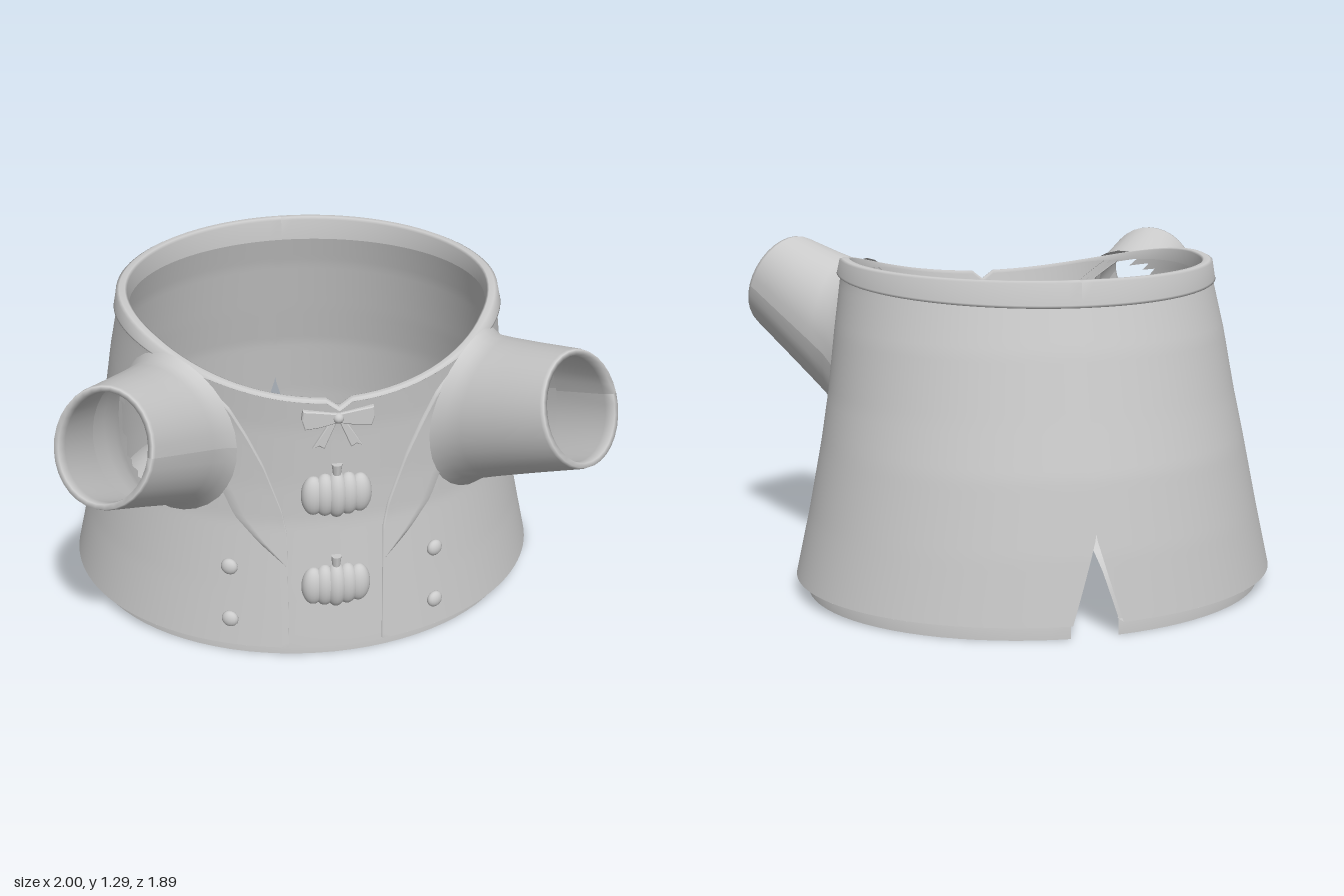
import * as THREE from 'three';

const mat = new THREE.MeshStandardMaterial({ color: 0xcccccc, side: THREE.DoubleSide });
const { lerp, clamp } = THREE.MathUtils;

// Piecewise interpolation through [position, value] pairs
function table(points, t) {
  if (t <= points[0][0]) return points[0][1];
  for (let i = 1; i < points.length; i++) {
    const [a, va] = points[i - 1], [b, vb] = points[i];
    if (t <= b) return lerp(va, vb, (t - a) / (b - a));
  }
  return points[points.length - 1][1];
}

// Body outline by height: half width, front and back
const HALF = [[0.06, 0.93], [0.3, 0.875], [0.57, 0.82], [0.76, 0.785], [1, 0.75], [1.2, 0.715]];
const FRONT = [[0.06, 0.68], [0.3, 0.665], [0.6, 0.645], [0.76, 0.65], [1, 0.665], [1.2, 0.69]];
const BACK = [[0.06, -0.93], [0.3, -0.905], [0.57, -0.865], [0.76, -0.82], [1, -0.765], [1.2, -0.705]];
// Jacket opening and lapel outer edge, as x by height
const OPEN = [[0.55, 0.18], [0.65, 0.197], [0.84, 0.26], [0.96, 0.315], [1.07, 0.375], [1.2, 0.51]];
const LAPEL = [[0.42, 0.183], [0.52, 0.28], [0.62, 0.36], [0.75, 0.41], [0.95, 0.42], [1.1, 0.45], [1.2, 0.55]];

function section(y) {
  const f = table(FRONT, y), b = table(BACK, y);
  return { rx: table(HALF, y), rz: (f - b) / 2, cz: (f + b) / 2 };
}
// Point on the body; angle 0 is the front centre, +x is positive
function surf(angle, y, off = 0) {
  const s = section(y);
  return new THREE.Vector3((s.rx + off) * Math.sin(angle), y, s.cz + (s.rz + off) * Math.cos(angle));
}
const angleAt = (x, y) => Math.asin(clamp(x / section(y).rx, -1, 1));
// Neckline: high at sides and back, dipping to a small notch in front
function neck(angle) {
  const c = Math.cos(angle);
  if (c < 0) return 1.27 + 0.02 * c;
  const notch = 0.035 * Math.max(0, 1 - Math.abs(0.7 * Math.sin(angle)) / 0.04);
  return 1.27 - 0.135 * Math.pow(c, 2.2) - notch;
}
// Half angle of the slit in the back hem
const slit = (y) => 0.1 * clamp((0.37 - y) / 0.31, 0, 1);

// Surface from a grid of points, with optional removal of cells
function grid(nu, nv, point, skip) {
  const pos = [], index = [], pts = [];
  for (let j = 0; j <= nv; j++) for (let i = 0; i <= nu; i++) {
    const p = point(i / nu, j / nv, i, j);
    pts.push(p);
    pos.push(p.x, p.y, p.z);
  }
  for (let j = 0; j < nv; j++) for (let i = 0; i < nu; i++) {
    const a = j * (nu + 1) + i, b = a + 1, c = a + nu + 1, d = c + 1;
    if (skip && skip(pts[a].clone().add(pts[d]).multiplyScalar(0.5))) continue;
    index.push(a, b, d, a, d, c);
  }
  const g = new THREE.BufferGeometry();
  g.setAttribute('position', new THREE.Float32BufferAttribute(pos, 3));
  g.setIndex(index);
  g.computeVertexNormals();
  return g;
}

// Sleeve axis and cross-section directions, for the side s = 1 or -1
function sleeveFrame(s) {
  const base = new THREE.Vector3(0.58 * s, 0.9, 0.42), end = new THREE.Vector3(0.835 * s, 1.1, 0.84);
  const axis = end.clone().sub(base), length = axis.length();
  axis.normalize();
  const side = new THREE.Vector3(axis.z, 0, -axis.x).normalize();
  return { base, axis, length, side, up: new THREE.Vector3().crossVectors(axis, side) };
}

function jacketHalf(s) {
  const f = sleeveFrame(s);
  const cols = 64;
  return grid(cols, 48, (u, v, i) => {
    const k = Math.min(1, i / (cols - 1));
    let y = lerp(0.06, 1.2, v), angle = 0;
    for (let n = 0; n < 6; n++) {
      angle = lerp(Math.PI - slit(y), angleAt(table(OPEN, y), y), k);
      y = lerp(0.06, neck(angle) - 0.01, v);
    }
    return surf(s * angle, y, i === cols ? -0.006 : 0.01);
  }, (p) => {
    // armhole
    const d = p.clone().sub(f.base);
    return p.z > 0 && Math.hypot(d.dot(f.side) / 0.26, d.dot(f.up) / 0.27) < 1;
  });
}

function sleeve(s) {
  const f = sleeveFrame(s);
  // [distance along sleeve, side radius, up radius]; the last loops turn inside
  const loops = [[0, 0.288, 0.3], [0.1, 0.262, 0.272], [0.25, 0.247, 0.26], [0.55, 0.223, 0.24],
    [0.97, 0.19, 0.215], [1, 0.185, 0.21], [1, 0.168, 0.193], [0.93, 0.165, 0.19], [0.5, 0.2, 0.22]];
  return grid(32, loops.length - 1, (u, v, i, j) => {
    const [t, ra, rb] = loops[j], a = u * Math.PI * 2;
    const p = f.base.clone().addScaledVector(f.side, ra * Math.cos(a)).addScaledVector(f.up, rb * Math.sin(a));
    // where this line along the sleeve leaves the body
    let lo = -0.35, hi = 0.45;
    for (let n = 0; n < 24; n++) {
      const m = (lo + hi) / 2, q = p.clone().addScaledVector(f.axis, m), c = section(q.y);
      const inside = Math.hypot(q.x / (c.rx + 0.014), (q.z - c.cz) / (c.rz + 0.014)) < 1;
      if (inside) lo = m; else hi = m;
    }
    return p.addScaledVector(f.axis, lerp(lo, f.length, t));
  });
}

// Flat outline with a little thickness
function plate(points, depth) {
  const shape = new THREE.Shape(points.map(([x, y]) => new THREE.Vector2(x, y)));
  return new THREE.ExtrudeGeometry(shape, { depth, bevelThickness: 0.004, bevelSize: 0.004, bevelSegments: 1 });
}

export function createModel() {
  const root = new THREE.Group();
  const add = (name, geometry, parent = root) => {
    const m = new THREE.Mesh(geometry, mat);
    m.name = name;
    parent.add(m);
    return m;
  };

  for (const s of [1, -1]) {
    const side = s > 0 ? 'left' : 'right';
    add(side + 'JacketHalf', jacketHalf(s));
    add(side + 'Sleeve', sleeve(s));

    // lapel lying on the jacket, with its outer edge turned down
    add(side + 'Lapel', grid(6, 28, (u, v, i) => {
      const y = lerp(0.42, 1.19, v);
      const x = lerp(table(OPEN, y), table(LAPEL, y), Math.min(1, i / 5));
      const angle = angleAt(x, y);
      return surf(s * angle, Math.min(y, neck(angle) - 0.012), i === 6 ? 0.008 : 0.018);
    }));

    // hem folded under
    add(side + 'Hem', grid(48, 1, (u, v) =>
      surf(s * lerp(Math.PI - slit(0.06), angleAt(0.18, 0.06), u), 0.06, lerp(0.01, -0.045, v))));

    // side buttons
    for (const [x, y] of [[0.385, 0.4], [0.39, 0.175]]) {
      const b = add(side + 'Button', new THREE.SphereGeometry(0.033, 16, 12));
      const a = s * angleAt(x, y);
      b.position.copy(surf(a, y, 0.016));
      b.rotation.y = a;
      b.scale.z = 0.65;
    }
  }

  // shirt front seen between the jacket edges
  add('shirtFront', grid(24, 36, (u, v) => {
    let y = lerp(0.05, 1.13, v), a = 0;
    for (let n = 0; n < 6; n++) {
      a = (2 * u - 1) * angleAt(table(OPEN, y) + 0.02, y);
      y = lerp(0.05, neck(a) - 0.005, v);
    }
    return surf(a, y);
  }));

  // lining: lower band that rounds over into an inner floor
  const lining = [[0.962, 0], [0.962, 0.06], [0.955, 0.15], [0.94, 0.23], [0.89, 0.29],
    [0.78, 0.335], [0.55, 0.36], [0.28, 0.372], [0, 0.375]];
  add('lining', grid(80, lining.length - 1, (u, v, i, j) => {
    const [k, y] = lining[j], c = section(y);
    const d = slit(Math.max(y, 0.06)), a = lerp(-Math.PI + d, Math.PI - d, u);
    return new THREE.Vector3(c.rx * k * Math.sin(a), y, c.cz + c.rz * k * Math.cos(a));
  }));

  // collar band, tall at the back and narrow in front: [offset, share of height]
  const band = [[0.004, 1], [0.024, 1], [0.022, 0.9], [0.012, 0.08], [0, 0], [-0.022, 0], [-0.03, 0.1], [-0.034, 1]];
  add('collar', grid(96, band.length - 1, (u, v, i, j) => {
    const a = lerp(-Math.PI, Math.PI, u);
    const height = table([[-1, 0.095], [0, 0.065], [0.3, 0.05], [0.6, 0.03], [0.8, 0.012], [1, 0.012]], Math.cos(a));
    const slim = table([[0.5, 1], [0.85, 0.5]], Math.cos(a));
    const p = surf(a, 1.2, band[j][0] * slim);
    p.y = neck(a) - height * band[j][1];
    return p;
  }));

  // pumpkin shaped fastenings, built from overlapping lobes
  for (const [y, z] of [[0.72, 0.652], [0.325, 0.657]]) {
    const pumpkin = new THREE.Group();
    pumpkin.name = 'pumpkinFastening';
    pumpkin.position.set(0, y, z);
    for (const n of [-2, -1, 0, 1, 2]) {
      const lobe = add('pumpkinLobe', new THREE.SphereGeometry(1, 20, 14), pumpkin);
      const k = Math.abs(n);
      lobe.position.x = n * 0.043;
      lobe.scale.set(0.045, 0.096 - 0.008 * k, 0.054 - 0.007 * k);
    }
    const stem = add('pumpkinStem', new THREE.CylinderGeometry(0.02, 0.014, 0.05, 8), pumpkin);
    stem.position.set(0, 0.105, 0.008);
    root.add(pumpkin);
  }

  // ribbon bow at the throat
  const bow = new THREE.Group();
  bow.name = 'bow';
  bow.position.set(0, 1.05, 0.664);
  for (const s of [1, -1]) {
    const half = new THREE.Group();
    half.name = 'bowHalf';
    half.scale.x = s;
    add('bowLoop', plate([[0, -0.014], [0.07, -0.03], [0.118, -0.034], [0.128, 0], [0.124, 0.034], [0.07, 0.026], [0, 0.014]], 0.016), half);
    add('bowTail', plate([[0.004, -0.01], [0.05, -0.12], [0.068, -0.108], [0.088, -0.118], [0.02, -0.01]], 0.008), half);
    bow.add(half);
  }
  const knot = add('bowKnot', new THREE.SphereGeometry(0.02, 14, 10), bow);
  knot.position.z = 0.014;
  root.add(bow);

  return root;
}
